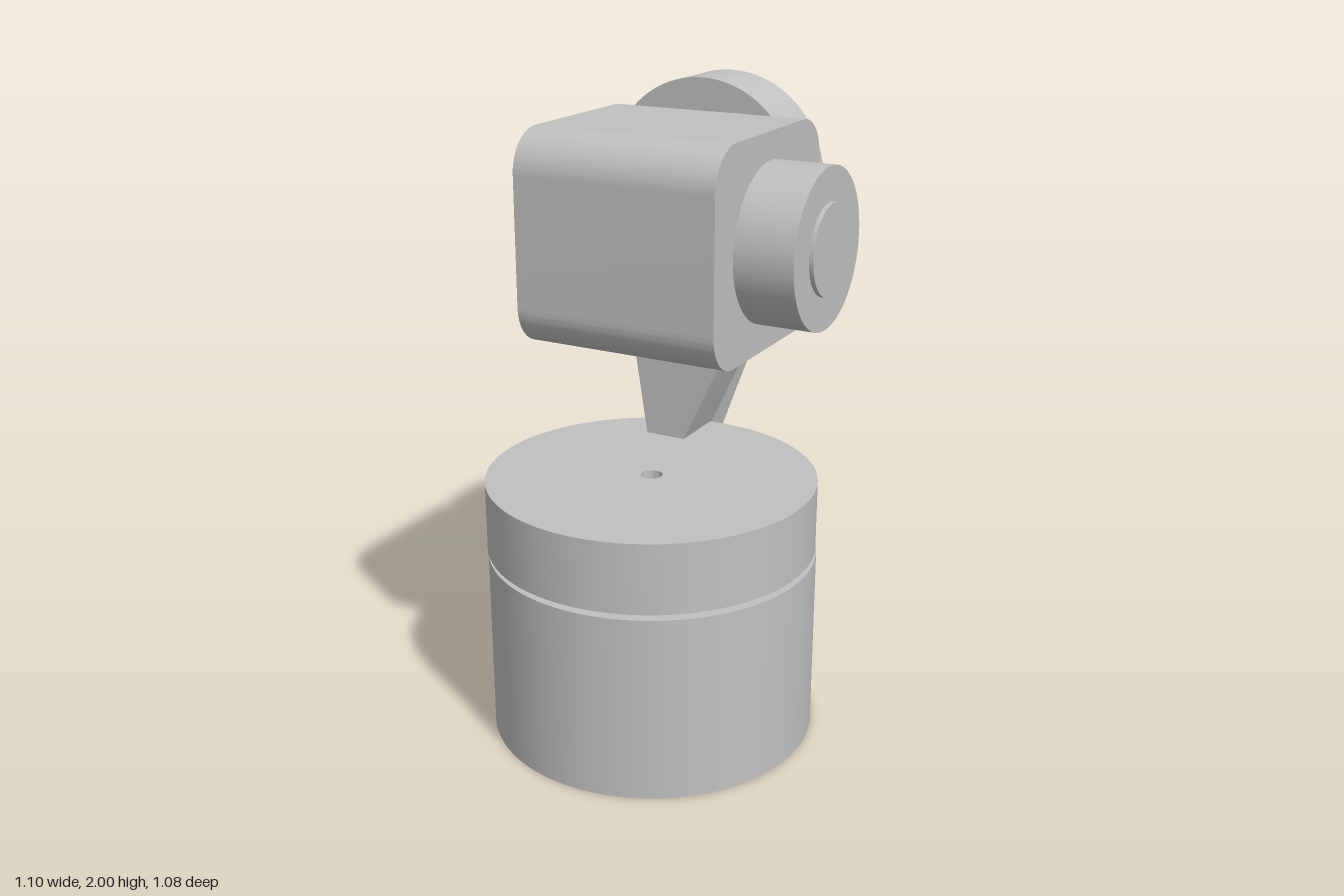
import * as THREE from 'three';
import { toCreasedNormals } from 'three/addons/utils/BufferGeometryUtils.js';

const grey = new THREE.MeshStandardMaterial({ color: 0xc0c0c0 });
grey.name = 'grey plastic';

function add(parent, name, geometry, x = 0, y = 0, z = 0) {
  const mesh = new THREE.Mesh(geometry, grey);
  mesh.name = name;
  mesh.position.set(x, y, z);
  parent.add(mesh);
  return mesh;
}

// Rounded rectangle centred on the origin, from half sizes
function roundedRect(w, h, r, Type = THREE.Shape) {
  const s = new Type();
  s.absarc(w - r, h - r, r, 0, Math.PI / 2);
  s.absarc(-w + r, h - r, r, Math.PI / 2, Math.PI);
  s.absarc(-w + r, -h + r, r, Math.PI, Math.PI * 1.5);
  s.absarc(w - r, -h + r, r, Math.PI * 1.5, Math.PI * 2);
  s.closePath();
  return s;
}

function editVertices(geometry, rule) {
  const p = geometry.attributes.position;
  const v = new THREE.Vector3();
  for (let i = 0; i < p.count; i++) {
    rule(v.fromBufferAttribute(p, i));
    p.setXYZ(i, v.x, v.y, v.z);
  }
  return geometry;
}

const extrude = (shape, depth, steps = 1) =>
  new THREE.ExtrudeGeometry(shape, { depth, steps, bevelEnabled: false, curveSegments: 16 });
const crease = (geometry) => toCreasedNormals(geometry, 0.5);
const disc = (r, h) => new THREE.CylinderGeometry(r, r, h, 64);

// Drum with a rounded socket opening in its right side
function makeBase() {
  const base = new THREE.Group();
  base.name = 'base';
  base.position.set(-0.042, 0, 0.022);
  const R = 0.513, H = 0.59, w = 0.14, h = 0.065, r = 0.045, py = 0.165;
  const a = Math.asin(w / R), mid = Math.PI * 1.5;
  const edge = (z) => {
    const d = Math.max(0, Math.abs(z) - (w - r));
    return h - r + Math.sqrt(Math.max(0, r * r - d * d));
  };
  const wall = (seg, start, len) =>
    new THREE.CylinderGeometry(R, R, H, seg, 1, true, start, len).translate(0, H / 2, 0);
  add(base, 'baseWall', wall(96, mid + a, Math.PI * 2 - 2 * a));
  add(base, 'wallAboveSocket', editVertices(wall(40, mid - a, 2 * a), (v) => {
    if (v.y < 0.1) v.y = py + edge(v.z);
  }));
  add(base, 'wallBelowSocket', editVertices(wall(40, mid - a, 2 * a), (v) => {
    if (v.y > 0.1) v.y = py - edge(v.z);
  }));
  add(base, 'baseTop', new THREE.CircleGeometry(R, 96).rotateX(-Math.PI / 2), 0, H, 0);
  add(base, 'baseBottom', new THREE.CircleGeometry(R, 96).rotateX(Math.PI / 2));

  // Socket lining, trimmed to the drum, with a floor and connector shell
  const ring = roundedRect(w + 0.01, h + 0.01, r + 0.01);
  ring.holes.push(roundedRect(w, h, r, THREE.Path));
  const lining = extrude(ring, 0.06).translate(0, 0, 0.44).rotateY(-Math.PI / 2);
  editVertices(lining, (v) => {
    if (v.x < -0.47) v.x = -Math.sqrt(0.512 ** 2 - v.z ** 2);
  });
  add(base, 'socketLining', crease(lining), 0, py, 0);
  add(base, 'socketFloor', new THREE.BoxGeometry(0.01, 2 * h, 2 * w), -0.44, py, 0);
  const shell = roundedRect(0.09, 0.032, 0.03);
  shell.holes.push(roundedRect(0.08, 0.022, 0.02, THREE.Path));
  add(base, 'connectorShell', crease(extrude(shell, 0.03).rotateY(-Math.PI / 2)), -0.44, py, 0);
  return base;
}

// Tapered arm with a round head and a chamfered back edge
function makeArm() {
  const r = 0.32, inset = 0.05, tilt = 0.155, drop = 1.07, foot = 0.157;
  const shape = new THREE.Shape();
  shape.moveTo(foot, -drop);
  shape.absarc(0, 0, r, -tilt, Math.PI + tilt);
  shape.lineTo(-foot, -drop);
  shape.closePath();
  const g = new THREE.ExtrudeGeometry(shape,
    { depth: 0.25, steps: 2, bevelEnabled: false, curveSegments: 48 });
  editVertices(g, (v) => {
    if (v.z < 0.01) {
      if (v.y < -1) v.x -= Math.sign(v.x) * inset;
      else { v.x *= (r - inset) / r; v.y *= (r - inset) / r; }
    } else if (v.z < 0.2) v.z = 0.042;
  });
  return crease(g);
}

function makeCamera() {
  const camera = new THREE.Group();
  camera.name = 'cameraHead';
  camera.position.set(0, 1.618, 0.077);
  add(camera, 'cameraBody',
    crease(extrude(roundedRect(0.337, 0.307, 0.12), 0.615).rotateY(Math.PI / 2)), -0.255, 0, 0);
  add(camera, 'lensBarrel', disc(0.228, 0.185).rotateZ(-Math.PI / 2), 0.4425, 0, 0);
  add(camera, 'lensGlass', disc(0.13, 0.03).rotateZ(-Math.PI / 2), 0.533, 0, 0);
  add(camera, 'bottomTab',
    crease(extrude(roundedRect(0.103, 0.03, 0.025), 0.024)), -0.042, -0.293, -0.192);
  add(camera, 'backPin', disc(0.015, 0.02).rotateX(Math.PI / 2), -0.042, -0.048, -0.335);
  return camera;
}

export function createModel() {
  const model = new THREE.Group();
  model.name = 'panTiltCamera';
  model.add(makeBase());

  // Pan shaft in the gap between base and turntable
  add(model, 'panShaft', disc(0.103, 0.04), -0.042, 0.6, 0.025);
  add(model, 'panStop', new THREE.BoxGeometry(0.06, 0.04, 0.1), -0.042, 0.6, -0.09);

  // Turntable with a small stepped screw hole
  const profile = [[0, 0.1], [0.018, 0.1], [0.018, 0.19], [0.034, 0.19], [0.034, 0.22],
    [0.512, 0.22], [0.512, 0], [0, 0]].reverse().map(([x, y]) => new THREE.Vector2(x, y));
  add(model, 'turntable', crease(new THREE.LatheGeometry(profile, 96)), -0.042, 0.61, 0.028);

  add(model, 'arm', makeArm(), -0.042, 1.68, -0.54);

  // Tilt axle between arm and camera
  add(model, 'tiltHub', disc(0.049, 0.035).rotateX(Math.PI / 2), -0.042, 1.688, -0.2825);
  add(model, 'tiltAxle', disc(0.034, 0.04).rotateX(Math.PI / 2), -0.042, 1.688, -0.265);

  model.add(makeCamera());
  return model;
}
